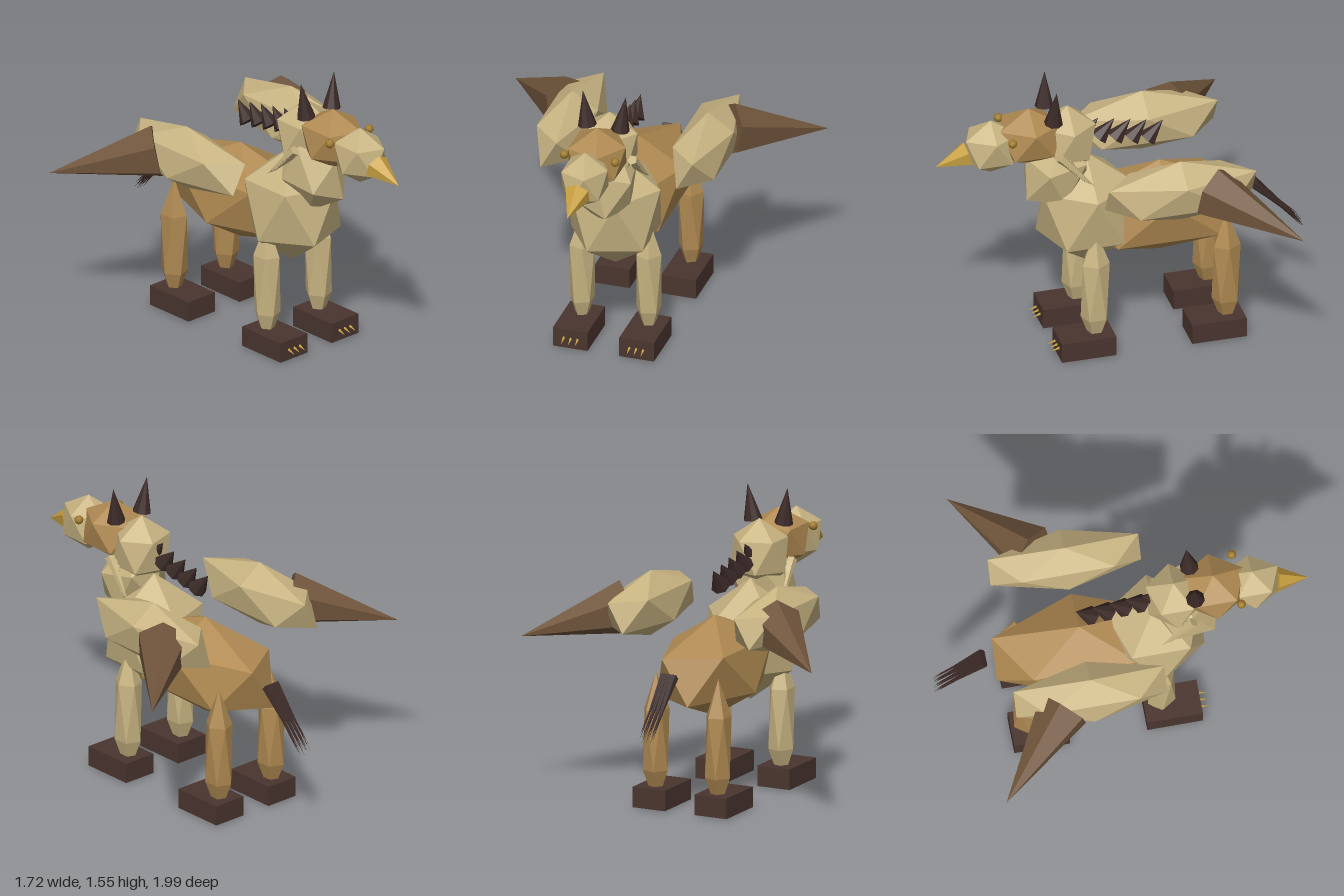
import * as THREE from 'three';
import { ConvexGeometry } from 'three/addons/geometries/ConvexGeometry.js';

const mat = (name, color) => {
  const m = new THREE.MeshStandardMaterial({ color });
  m.name = name;
  return m;
};

// Twelve-point faceted ball with poles on y and two staggered rings of five
function blobGeometry(rx, ry, rz) {
  const points = [new THREE.Vector3(0, ry, 0), new THREE.Vector3(0, -ry, 0)];
  for (let i = 0; i < 5; i++) {
    const a = Math.PI / 5 + (i * Math.PI * 2) / 5;
    const x = 0.8944 * Math.cos(a) * rx;
    const z = 0.8944 * Math.sin(a) * rz;
    points.push(new THREE.Vector3(x, -0.4472 * ry, z));
    points.push(new THREE.Vector3(-x, 0.4472 * ry, -z));
  }
  return new ConvexGeometry(points);
}

export function createModel() {
  const model = new THREE.Group();
  model.name = 'wingedCreature';

  const cream = mat('cream', 0xc8b482);
  const tan = mat('tan', 0xb08a52);
  const brown = mat('wingBrown', 0x6f543b);
  const dark = mat('hoofBrown', 0x4a352f);
  const horn = mat('hornDark', 0x3b2a27);
  const gold = mat('gold', 0xc8a040);
  const amber = mat('amber', 0xa07a2c);

  const add = (name, geometry, material, pos) => {
    const mesh = new THREE.Mesh(geometry, material);
    mesh.name = name;
    mesh.position.set(...pos);
    model.add(mesh);
    return mesh;
  };
  const blob = (name, material, pos, radii) => add(name, blobGeometry(...radii), material, pos);

  // Faceted cone from a base centre to a tip
  const spike = (name, material, base, tip, radius, sides = 6) => {
    const length = new THREE.Vector3(...tip).distanceTo(new THREE.Vector3(...base));
    const g = new THREE.ConeGeometry(radius, length, sides)
      .translate(0, length / 2, 0)
      .rotateX(Math.PI / 2)
      .toNonIndexed();
    g.computeVertexNormals();
    const mesh = add(name, g, material, base);
    mesh.lookAt(...tip);
    return mesh;
  };

  // Trunk, neck and head
  blob('body', tan, [0, 0.71, -0.22], [0.27, 0.27, 0.53]);
  blob('chest', cream, [0, 0.765, 0.18], [0.275, 0.325, 0.295]);
  blob('neck', cream, [0, 1.02, 0.344], [0.18, 0.186, 0.24]).rotation.x = 1.08;
  blob('nape', cream, [0, 1.2, 0.28], [0.17, 0.19, 0.165]);
  blob('head', tan, [0, 1.24, 0.49], [0.175, 0.165, 0.2]);
  blob('face', cream, [0, 1.21, 0.695], [0.14, 0.155, 0.17]);
  spike('beak', gold, [0, 1.185, 0.82], [0, 1.13, 0.995], 0.072);

  for (const s of [-1, 1]) {
    const side = s > 0 ? 'left' : 'right';

    // Eyes and horns
    const eye = new THREE.IcosahedronGeometry(0.024, 1);
    add(side + 'Eye', eye, amber, [s * 0.14, 1.29, 0.615]);
    spike(side + 'Horn', horn, [s * 0.09, 1.35, 0.38], [s * 0.118, 1.545, 0.37], 0.05, 8);

    // Wings
    blob(side + 'WingShoulder', cream, [s * 0.373, 1.005, -0.23], [0.157, 0.175, 0.47]);
    spike(side + 'WingTip', brown, [s * 0.44, 1.01, -0.385], [s * 0.858, 0.885, -0.765], 0.148);

    // Feather tufts on the neck
    for (let i = 0; i < 3; i++) {
      spike(side + 'NeckTuft', cream, [s * 0.15, 1.17 - i * 0.02, 0.36 - i * 0.02],
        [s * 0.185, 0.985 + i * 0.015, 0.18 + i * 0.025], 0.028, 5);
    }

    // Legs and hooves
    for (const [pair, z, material] of [['Front', 0.18, cream], ['Hind', -0.53, tan]]) {
      blob(side + pair + 'Leg', material, [s * 0.183, 0.36, z], [0.076, 0.365, 0.086]);
      const hoofZ = z > 0 ? 0.238 : -0.468;
      add(side + pair + 'Hoof', new THREE.BoxGeometry(0.19, 0.11, 0.295), dark,
        [s * 0.182, 0.055, hoofZ]);
    }

    // Claws on the front hooves
    for (let i = -1; i <= 1; i++) {
      const x = s * 0.18 + i * 0.038;
      spike(side + 'Claw', gold, [x, 0.06, 0.375], [x, 0.042, 0.43], 0.009, 5);
    }
  }

  // Mane spikes down the back of the neck
  for (let i = 0; i < 6; i++) {
    const z = 0.285 - i * 0.088;
    const y = 1.205 - i * 0.017;
    spike('maneSpike', horn, [0, y, z], [0, y + 0.1, z - 0.085], 0.052, 7);
  }

  // Tail made of fine strands
  for (let i = -3; i <= 3; i++) {
    for (let row = 0; row < 2; row++) {
      const x = i * 0.0115;
      const end = row * 0.03 + (Math.abs(i) % 2) * 0.015;
      spike('tailStrand', horn, [x, 0.77 - row * 0.015, -0.735 + row * 0.012],
        [x * 1.1, 0.455 + end, -0.995 + row * 0.008], 0.014, 5);
    }
  }

  return model;
}
